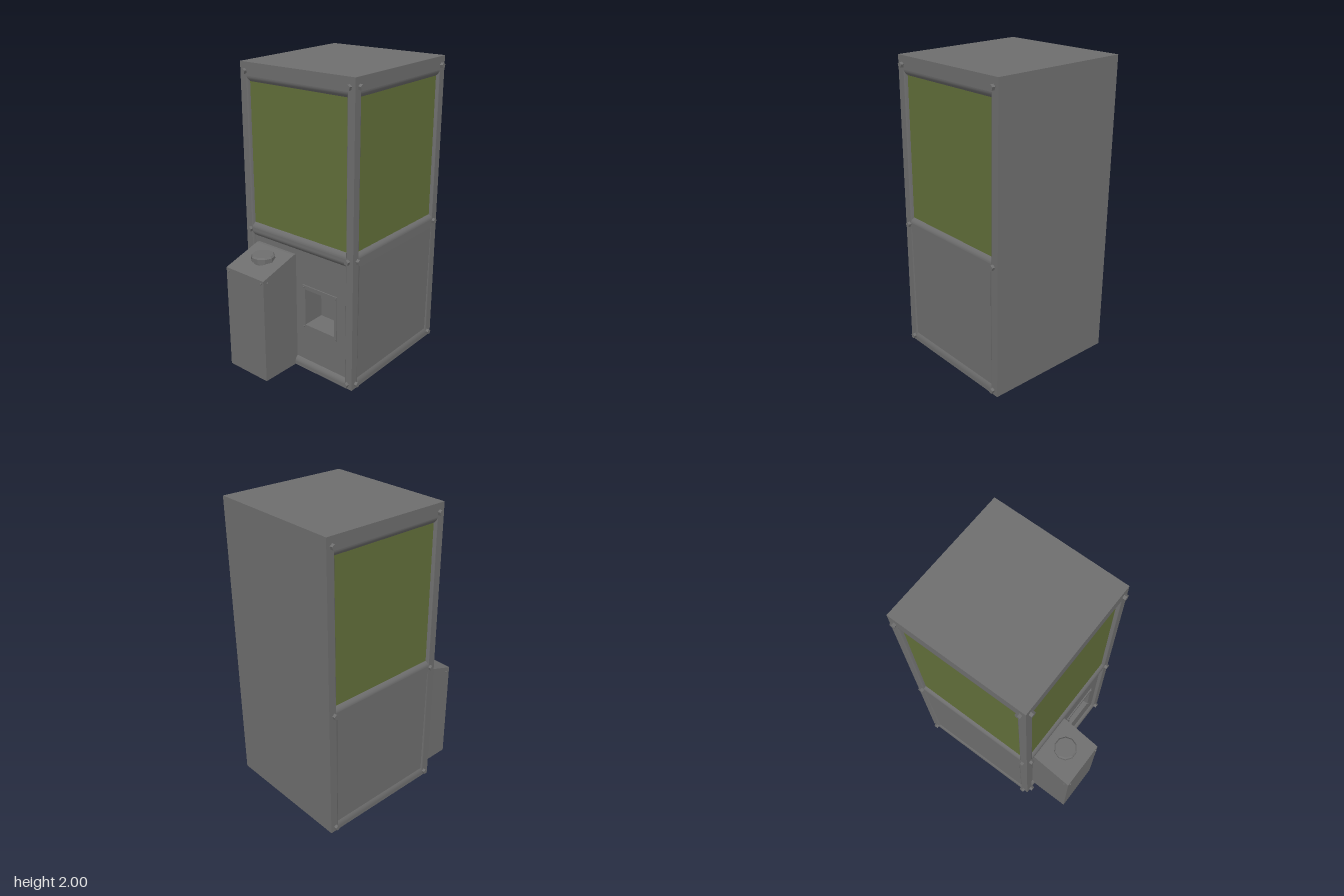
import * as THREE from 'three';

const grey = new THREE.MeshStandardMaterial({ color: 0x6e6e6e, flatShading: true });
const smoothGrey = new THREE.MeshStandardMaterial({ color: 0x6e6e6e });
const green = new THREE.MeshStandardMaterial({ color: 0x626f3a, flatShading: true });
const H = 1.98, W = 0.455, MID_Z = -0.144;

function add(parent, name, geometry, material = grey) {
  const mesh = new THREE.Mesh(geometry, material);
  mesh.name = name;
  parent.add(mesh);
  return mesh;
}

// Geometry from a list of four-cornered faces, corners counter-clockwise
function quads(list) {
  const pos = list.flatMap(([a, b, c, d]) => [a, b, c, a, c, d].flat());
  const g = new THREE.BufferGeometry();
  g.setAttribute('position', new THREE.Float32BufferAttribute(pos, 3));
  g.computeVertexNormals();
  return g;
}

// Corners of a rectangle [x0, y0, x1, y1] with its own depth at bottom and top
const corners = ([x0, y0, x1, y1], zb, zt = zb) =>
  [[x0, y0, zb], [x1, y0, zb], [x1, y1, zt], [x0, y1, zt]];

const grow = ([a, b, c, d], x, y) => [a - x, b - y, c + x, d + y];

// Rounded slopes from an opening in the wall face down to a recessed rectangle
const INSET_X = 0.012, INSET_Y = 0.035;
function moulding(rect, depthBottom, depthTop) {
  const n = 5, loops = [], pos = [], index = [];
  for (let k = 0; k <= n; k++) {
    const t = k / n;
    loops.push(corners(grow(rect, INSET_X * (1 - t), INSET_Y * (1 - t)),
      W - depthBottom * t * t, W - depthTop * t * t));
  }
  for (let i = 0; i < 4; i++) {
    loops.forEach((loop, k) => {
      const a = pos.length / 3;
      pos.push(...loop[i], ...loop[(i + 1) % 4]);
      if (k < n) index.push(a, a + 1, a + 3, a, a + 3, a + 2);
    });
  }
  const g = new THREE.BufferGeometry();
  g.setAttribute('position', new THREE.Float32BufferAttribute(pos, 3));
  g.setIndex(index);
  g.computeVertexNormals();
  return g;
}

function rectPath([x0, y0, x1, y1], Type) {
  return new Type([[x0, y0], [x1, y0], [x1, y1], [x0, y1]].map(p => new THREE.Vector2(...p)));
}

function rectWithHoles(outer, holes) {
  const s = rectPath(outer, THREE.Shape);
  s.holes = holes.map(h => rectPath(h, THREE.Path));
  return s;
}

// Five-sided bolt head standing on a surface facing local +z
function bolt(parent, x, y, z, r, h) {
  const g = new THREE.CylinderGeometry(r, r, h, 5).rotateX(-Math.PI / 2);
  add(parent, 'bolt', g).position.set(x, y, z + h / 2);
}

const glassRect = [-0.392, 0.93, 0.392, 1.86];
const lowerRect = [-0.392, 0.06, 0.392, 0.838];
const chuteRect = [0.055, 0.325, 0.297, 0.58];

// One framed wall with its window, lower panel and bolts
function wall(name, angle, isFront) {
  const g = new THREE.Group();
  g.name = name;
  g.position.z = MID_Z;
  g.rotation.y = angle;
  const openings = [glassRect, lowerRect].map(r => grow(r, INSET_X, INSET_Y));
  add(g, 'frame', new THREE.ShapeGeometry(rectWithHoles([-W, 0, W, H], openings))
    .translate(0, 0, W));

  const depth = 0.02;
  add(g, 'windowMoulding', moulding(glassRect, depth, depth), smoothGrey);
  add(g, 'window', quads([corners(glassRect, W - depth)]), green);

  // Side panels lean out until flush at the top
  const [low, high] = isFront ? [depth, depth] : [0.009, 0];
  add(g, 'panelMoulding', moulding(lowerRect, low, high), smoothGrey);
  if (isFront) {
    add(g, 'frontPanel', new THREE.ShapeGeometry(rectWithHoles(lowerRect, [chuteRect]))
      .translate(0, 0, W - depth));
  } else {
    add(g, 'sidePanel', quads([corners(lowerRect, W - low, W - high)]));
  }

  for (const x of [-0.415, 0.415]) {
    for (const y of [0.032, 0.882, 1.922]) bolt(g, x, y, W, 0.018, 0.02);
  }
  return g;
}

// Recessed prize chute with a thin raised surround
function chute() {
  const g = new THREE.Group();
  g.name = 'chute';
  g.position.z = MID_Z;
  const z = W - 0.02;
  const rim = [0.03, 0.295, 0.317, 0.607];
  add(g, 'chuteSurround', new THREE.ExtrudeGeometry(rectWithHoles(rim, [chuteRect]),
    { depth: 0.008, bevelEnabled: false }).translate(0, 0, z));
  const mouth = corners(chuteRect, z), back = corners(chuteRect, z - 0.15);
  add(g, 'chuteWalls', quads(mouth.map((p, i) => {
    const j = (i + 1) % 4;
    return [p, mouth[j], back[j], back[i]];
  })));
  add(g, 'chuteBack', quads([back]));
  for (const x of [0.042, 0.307]) {
    for (const y of [0.31, 0.593]) bolt(g, x, y, z + 0.008, 0.007, 0.005);
  }
  return g;
}

// Control box with a sloping top and a round button
function controlBox() {
  const g = new THREE.Group();
  g.name = 'controlBox';
  const x0 = -0.36, x1 = -0.025, front = 0.585;
  const side = new THREE.Shape([[0.28, 0], [front, 0], [front, 0.712], [0.31, 0.8], [0.28, 0.8]]
    .map(p => new THREE.Vector2(...p)));
  add(g, 'controlBody', new THREE.ExtrudeGeometry(side, { depth: x1 - x0, bevelEnabled: false })
    .rotateY(-Math.PI / 2).translate(x1, 0, 0));
  const profile = [[0.06, 0.725], [0.06, 0.757], [0.078, 0.763], [0.078, 0.792], [0.068, 0.802], [0, 0.802]]
    .map(p => new THREE.Vector2(...p));
  add(g, 'button', new THREE.LatheGeometry(profile, 10).rotateY(Math.PI / 10))
    .position.set(-0.183, 0, 0.428);
  for (const x of [-0.337, -0.048]) bolt(g, x, 0.69, front, 0.007, 0.008);
  for (const s of [-1, 1]) {
    const b = new THREE.Group();
    b.name = 'sideBolt';
    b.position.set(s < 0 ? x0 : x1, 0.69, 0.552);
    b.rotation.y = s * Math.PI / 2;
    bolt(b, 0, 0, 0, 0.007, 0.008);
    g.add(b);
  }
  return g;
}

export function createModel() {
  const model = new THREE.Group();
  model.name = 'arcadeCabinet';
  const cabinet = new THREE.Group();
  cabinet.name = 'cabinet';
  cabinet.add(wall('frontWall', 0, true), wall('leftWall', Math.PI / 2, false),
    wall('rightWall', -Math.PI / 2, false), chute());

  // Plain back, top and bottom
  const zf = MID_Z + W, zb = MID_Z - W;
  add(cabinet, 'back', quads([[[W, 0, zb], [-W, 0, zb], [-W, H, zb], [W, H, zb]]]));
  add(cabinet, 'top', quads([[[-W, H, zf], [W, H, zf], [W, H, zb], [-W, H, zb]]]));
  add(cabinet, 'bottom', quads([[[-W, 0, zb], [W, 0, zb], [W, 0, zf], [-W, 0, zf]]]));

  // The cabinet is slightly skewed: it drifts sideways and rises towards the back
  const skew = new THREE.Matrix4().set(
    1, 0, 0.0135, 0,
    0, 1, -0.022, 0.022 * zf,
    0, 0, 1, 0,
    0, 0, 0, 1);
  cabinet.updateMatrixWorld(true);
  cabinet.traverse(o => {
    if (o.isMesh) o.geometry.applyMatrix4(skew.clone().multiply(o.matrixWorld));
  });
  cabinet.traverse(o => {
    o.position.set(0, 0, 0);
    o.rotation.set(0, 0, 0);
  });

  model.add(cabinet, controlBox());
  return model;
}
